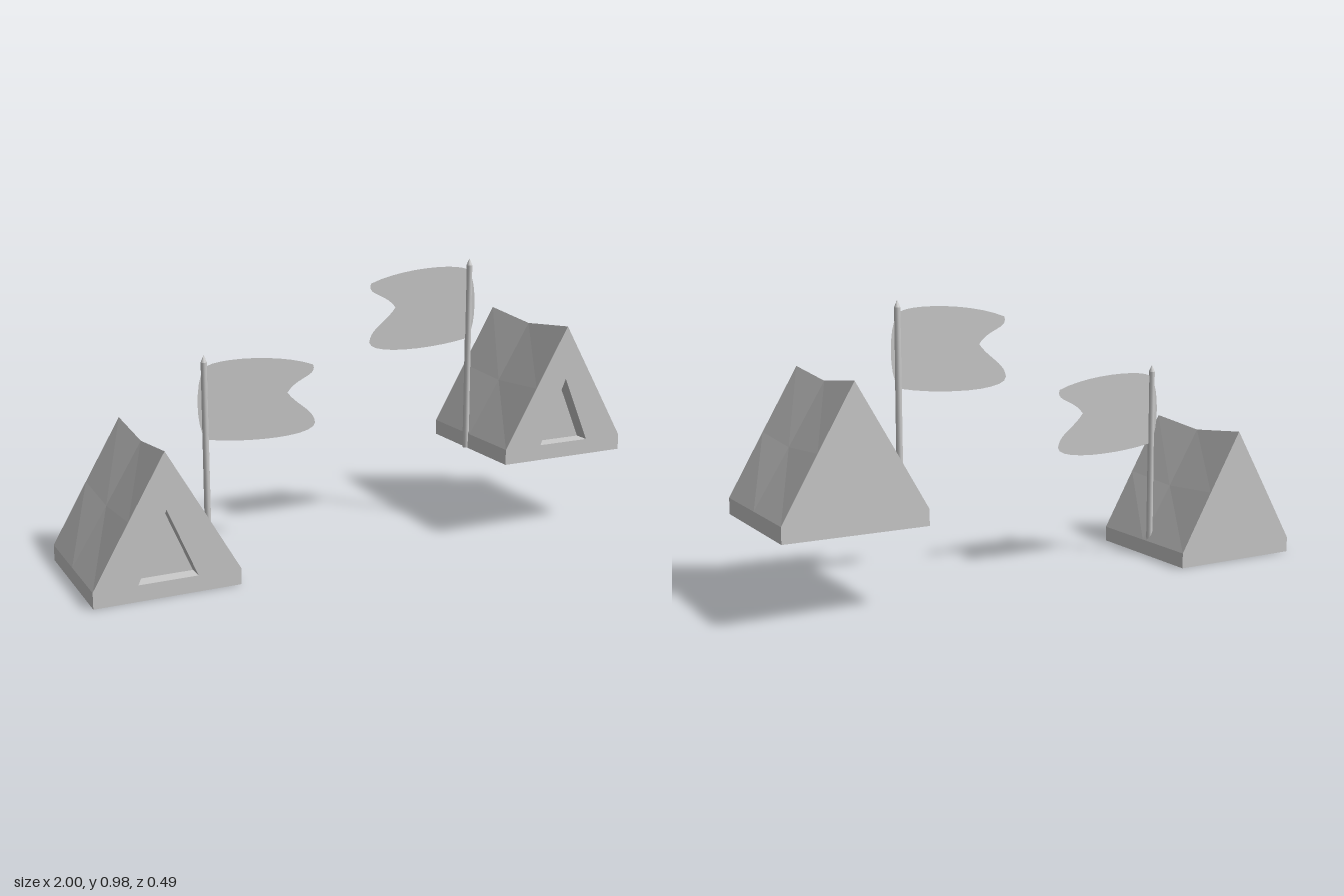
import * as THREE from 'three';

const grey = new THREE.MeshStandardMaterial({ color: 0xcccccc, side: THREE.DoubleSide });
grey.name = 'plain grey';

const HALF = 0.247; // half width and half depth of a tent
const DOOR = [[-0.1, 0.055], [0.1, 0.055], [0, 0.29]];
const DOOR_DEPTH = 0.055;

// Cross-section of a tent, left wall over the ridge to the right wall
const section = (midX, midY, ridge) => [
  [-HALF, 0], [-HALF, 0.055], [-midX, midY], [0, ridge], [midX, midY], [HALF, 0.055], [HALF, 0],
];
const END = section(0.125, 0.266, 0.48);
const SAGGED = section(0.125, 0.25, 0.455);

function addMesh(parent, name, geometry, x = 0, y = 0, z = 0) {
  const mesh = new THREE.Mesh(geometry, grey);
  mesh.name = name;
  mesh.position.set(x, y, z);
  parent.add(mesh);
  return mesh;
}

// Flat panels between successive cross-sections, ordered front to back
function loft(rows) {
  const pos = [];
  for (let r = 0; r < rows.length - 1; r++) {
    const f = rows[r], b = rows[r + 1];
    for (let i = 0; i < f.pts.length - 1; i++) {
      const f0 = [...f.pts[i], f.z], f1 = [...f.pts[i + 1], f.z];
      const b0 = [...b.pts[i], b.z], b1 = [...b.pts[i + 1], b.z];
      pos.push(...f0, ...f1, ...b1, ...f0, ...b1, ...b0);
    }
  }
  const g = new THREE.BufferGeometry();
  g.setAttribute('position', new THREE.Float32BufferAttribute(pos, 3));
  g.computeVertexNormals();
  return g;
}

const polygon = (pts) => new THREE.Shape(pts.map(([x, y]) => new THREE.Vector2(x, y)));

function makeTent() {
  const tent = new THREE.Group();
  tent.name = 'tent';

  // Roof with a dip in the ridge, and low side walls; open underneath
  addMesh(tent, 'roofAndWalls', loft([
    { pts: END, z: HALF }, { pts: SAGGED, z: 0 }, { pts: END, z: -HALF },
  ]));

  // Front wall with a triangular doorway
  const front = polygon(END);
  front.holes.push(polygon(DOOR));
  addMesh(tent, 'frontWall', new THREE.ShapeGeometry(front), 0, 0, HALF);
  addMesh(tent, 'backWall', new THREE.ShapeGeometry(polygon(END)), 0, 0, -HALF).rotation.y = Math.PI;

  // Recessed doorway
  const rim = [...DOOR, DOOR[0]];
  addMesh(tent, 'doorFrame', loft([{ pts: rim, z: HALF }, { pts: rim, z: HALF - DOOR_DEPTH }]));
  addMesh(tent, 'door', new THREE.ShapeGeometry(polygon(DOOR)), 0, 0, HALF - DOOR_DEPTH);
  return tent;
}

// Swallow-tailed banner; dir is the side it flies to
function makeFlag(dir) {
  const flag = new THREE.Group();
  flag.name = 'flag';
  addMesh(flag, 'pole', new THREE.CylinderGeometry(0.011, 0.012, 0.68, 8), 0, 0.34, 0);
  addMesh(flag, 'poleTip', new THREE.ConeGeometry(0.011, 0.025, 8), 0, 0.6925, 0);

  const s = new THREE.Shape();
  s.moveTo(0.012, 0.667);
  s.bezierCurveTo(0.06, 0.69, 0.28, 0.685, 0.4, 0.637);
  s.bezierCurveTo(0.418, 0.595, 0.34, 0.6, 0.302, 0.547);
  s.bezierCurveTo(0.34, 0.495, 0.4, 0.48, 0.406, 0.43);
  s.bezierCurveTo(0.405, 0.38, 0.15, 0.385, 0.012, 0.412);
  s.bezierCurveTo(-0.038, 0.42, -0.038, 0.65, 0.012, 0.667);
  const cloth = new THREE.ShapeGeometry(s, 10);
  if (dir < 0) cloth.rotateY(Math.PI);
  addMesh(flag, 'banner', cloth);
  return flag;
}

export function createModel() {
  const model = new THREE.Group();
  model.name = 'tentCamp';
  // Low tent on the right, raised tent on the left, banners flying inward
  for (const [side, tentY, poleX, poleY] of [[-1, 0, -0.521, 0.012], [1, 0.277, 0.503, 0.279]]) {
    const tent = makeTent();
    tent.position.set(side * 0.753, tentY, 0);
    const flag = makeFlag(-side);
    flag.position.set(poleX, poleY, -0.021);
    model.add(tent, flag);
  }
  return model;
}
